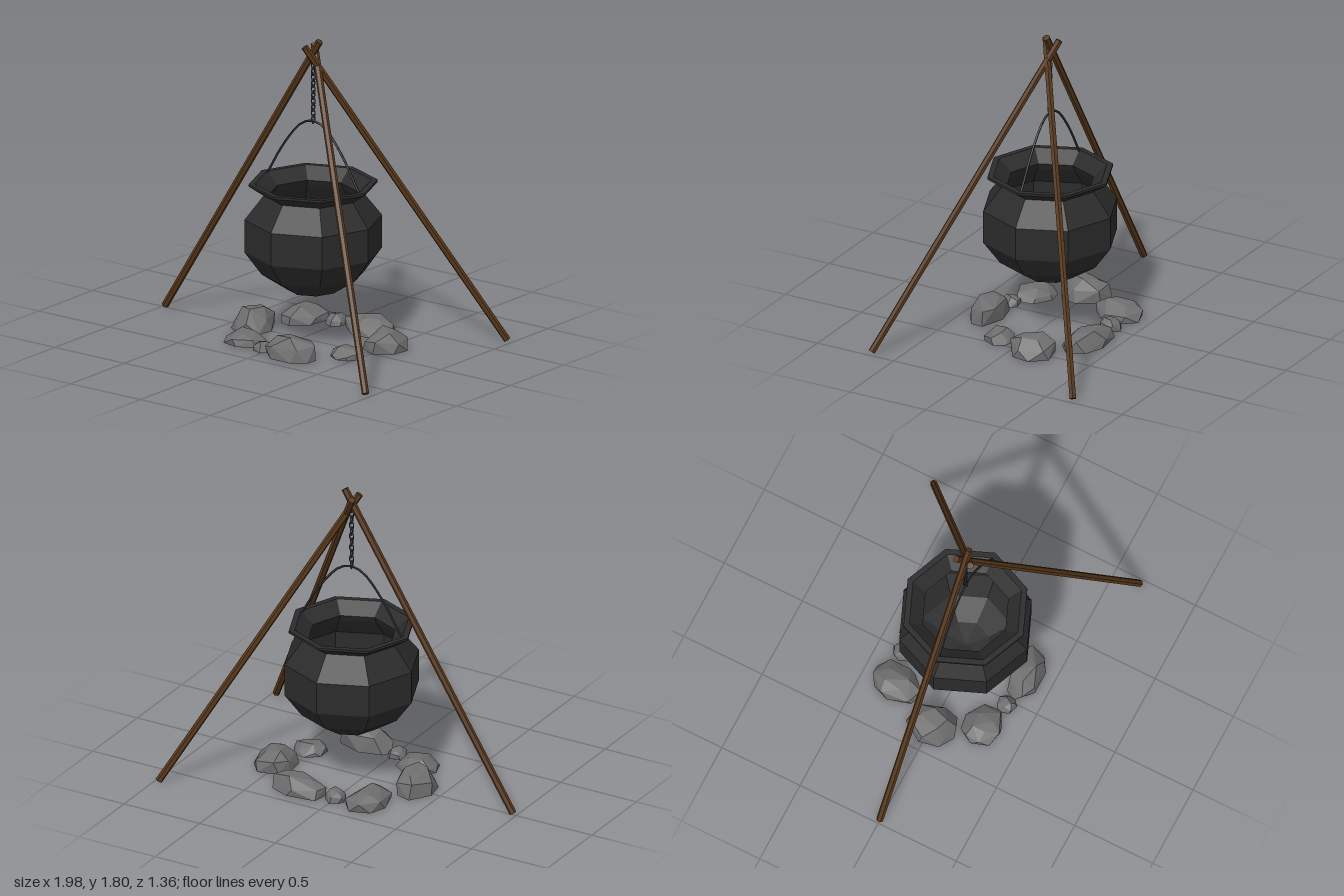
import * as THREE from 'three';
import { ConvexGeometry } from 'three/addons/geometries/ConvexGeometry.js';

const CX = 0.085; // vertical axis of the pot
const mat = (color, side = THREE.FrontSide) => new THREE.MeshStandardMaterial({ color, side, flatShading: true });
const wood = mat(0x56361a);
const iron = mat(0x2b2b2b, THREE.DoubleSide);
const steel = mat(0x33373b);
const rock = mat(0x6e6e6e);

function add(parent, name, geometry, material) {
  const mesh = new THREE.Mesh(geometry, material);
  mesh.name = name;
  parent.add(mesh);
  return mesh;
}

// Small seeded generator for the rough stones
function seeded(seed) {
  let s = seed * 7919 + 17;
  return () => (s = (s * 16807) % 2147483647) / 2147483647;
}

// Straight six-sided pole between two points
function pole(parent, name, from, to) {
  const a = new THREE.Vector3(...from), b = new THREE.Vector3(...to);
  const dir = b.clone().sub(a);
  const mesh = add(parent, name, new THREE.CylinderGeometry(0.021, 0.021, dir.length(), 6), wood);
  mesh.position.copy(a).add(b).multiplyScalar(0.5);
  mesh.quaternion.setFromUnitVectors(new THREE.Vector3(0, 1, 0), dir.normalize());
}

// Flat-bottomed faceted stone: hull of a wide base, a shoulder and a small top
function stone(parent, seed, [x, z, w, d, h, turn]) {
  const rnd = seeded(seed);
  rnd(); rnd();
  const points = [];
  const rings = [[7, 0.98, 0.012, 0], [6, 0.9, h * 0.55, 0.15 * h], [4, 0.5, h * 0.9, 0.1 * h]];
  rings.forEach(([n, r, y, rough]) => {
    const start = rnd() * 6;
    for (let i = 0; i < n; i++) {
      const a = start + ((i + (rnd() - 0.5) * 0.4) / n) * Math.PI * 2;
      const k = r * (0.94 + 0.14 * rnd());
      points.push(new THREE.Vector3(Math.cos(a) * k * w / 2, y + (rnd() * 2 - 1) * rough, Math.sin(a) * k * d / 2));
    }
  });
  const mesh = add(parent, 'stone', new ConvexGeometry(points), rock);
  mesh.position.set(x, 0, z);
  mesh.rotation.y = turn;
}

export function createModel() {
  const model = new THREE.Group();

  // Tripod
  const tripod = new THREE.Group();
  tripod.name = 'tripod';
  model.add(tripod);
  pole(tripod, 'rightPole', [-0.98, 0.02, 0], [0.13, 1.8, 0]);
  for (const s of [1, -1]) {
    pole(tripod, s > 0 ? 'frontLeftPole' : 'backLeftPole', [0.97, 0.022, 0.66 * s], [0.058, 1.765, -0.045 * s]);
  }

  // Hollow eight-sided cauldron: outside upwards, over the lip, then down the inside
  const profile = [
    [0, 0.298], [0.145, 0.318], [0.295, 0.415], [0.395, 0.552], [0.395, 0.745],
    [0.31, 0.853], [0.285, 0.885], [0.37, 0.942], [0.37, 0.956],
    [0.335, 0.956], [0.255, 0.888], [0.28, 0.845], [0.365, 0.735],
    [0.365, 0.56], [0.275, 0.435], [0.14, 0.345], [0, 0.328],
  ].map(([r, y]) => new THREE.Vector2(r, y));
  add(model, 'cauldron', new THREE.LatheGeometry(profile, 8), iron).position.x = CX;

  // Bail handle
  const half = [[0.345, 0.93], [0.32, 0.965], [0.25, 1.085], [0.17, 1.2], [0.085, 1.29]];
  const arc = [
    ...half.map(([x, y]) => new THREE.Vector3(-x, y, 0)),
    new THREE.Vector3(0, 1.322, 0),
    ...half.slice().reverse().map(([x, y]) => new THREE.Vector3(x, y, 0)),
  ];
  const handle = new THREE.TubeGeometry(new THREE.CatmullRomCurve3(arc), 20, 0.007, 5);
  add(model, 'handle', handle, steel).position.x = CX;

  // Chain of links, every second one turned a quarter
  const chain = new THREE.Group();
  chain.name = 'chain';
  chain.position.x = CX;
  model.add(chain);
  const link = new THREE.TorusGeometry(0.016, 0.005, 4, 8);
  link.rotateZ(Math.PI / 8).scale(0.85, 1.5, 1);
  for (let i = 0; i < 11; i++) {
    const mesh = add(chain, 'chainLink', link, steel);
    mesh.position.y = 1.331 + i * 0.0355;
    mesh.rotation.y = i % 2 ? 0 : Math.PI / 2;
  }

  // Ring of stones: x, z, width, depth, height, turn
  const stones = new THREE.Group();
  stones.name = 'fireRing';
  model.add(stones);
  [
    [-0.2, -0.29, 0.24, 0.32, 0.11, -0.25],
    [-0.01, -0.34, 0.13, 0.14, 0.08, 0.3],
    [0.235, -0.34, 0.39, 0.23, 0.115, -0.2],
    [0.51, -0.13, 0.25, 0.28, 0.138, 0.1],
    [0.43, 0.13, 0.2, 0.19, 0.08, 0.2],
    [0.185, 0.345, 0.34, 0.2, 0.158, 0.1],
    [-0.03, 0.32, 0.12, 0.12, 0.07, 0.5],
    [-0.205, 0.26, 0.27, 0.23, 0.085, -0.2],
    [-0.33, 0.01, 0.24, 0.31, 0.145, 0.15],
  ].forEach((s, i) => stone(stones, i + 1, s));

  return model;
}
